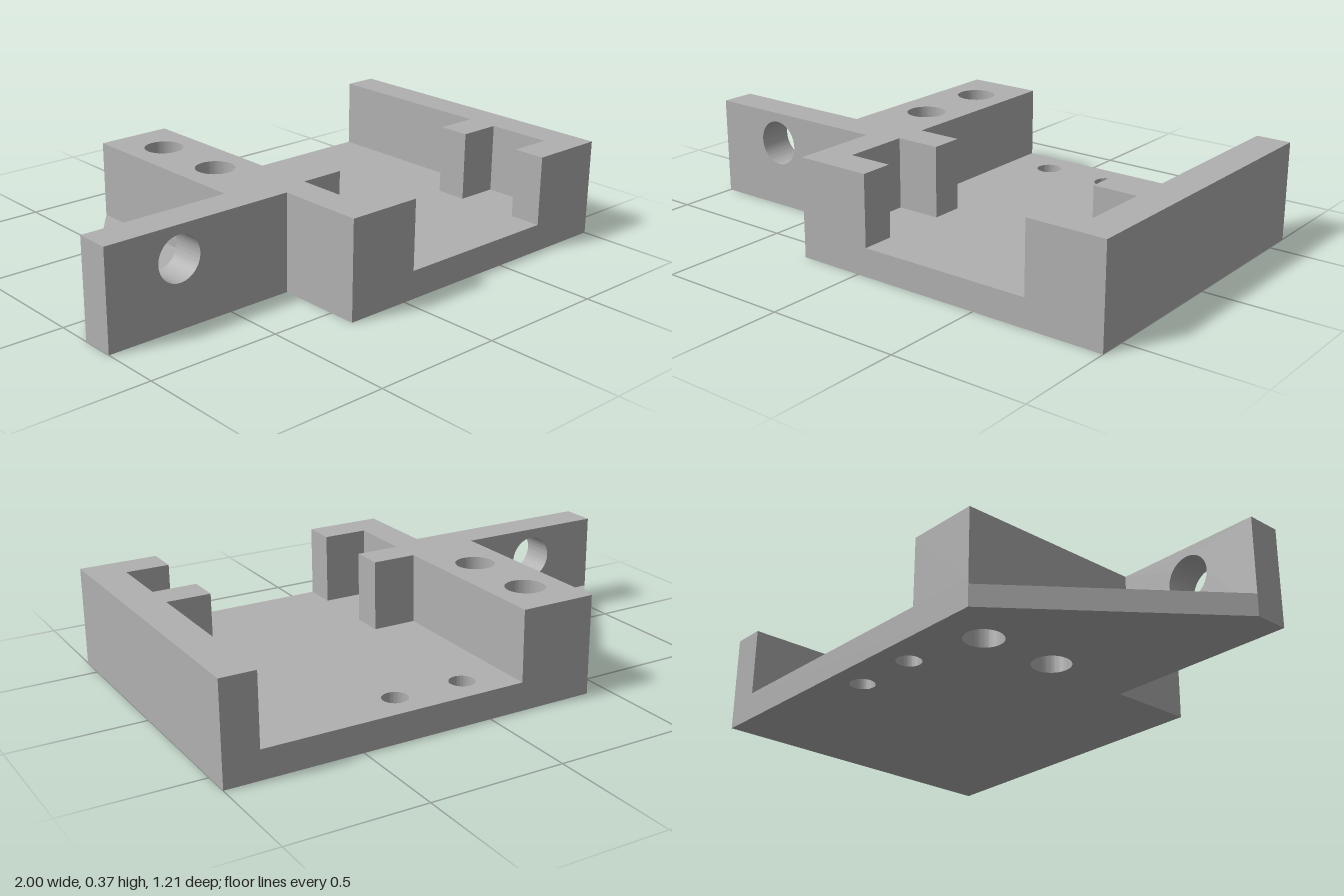
import * as THREE from 'three';
import { toCreasedNormals } from 'three/addons/utils/BufferGeometryUtils.js';

const HEIGHT = 0.373, FLOOR = 0.107, GUSSET = 0.083;
const BACK = -0.603, FRONT = 0.603;
const TAB_BACK = 0.14, TAB_FRONT = 0.27;
const BLOCK_X = -0.418, STEP_X = -0.25;

// Bolt holes [x, z, radius]
const bigHoles = [[-0.273, -0.41, 0.073], [-0.273, -0.098, 0.073]];
const smallHoles = [[0.04, -0.483, 0.047], [0.31, -0.483, 0.047]];

function extrude(points, holes, depth) {
  const shape = new THREE.Shape(points.map(([x, y]) => new THREE.Vector2(x, y)));
  for (const [x, y, r] of holes) {
    shape.holes.push(new THREE.Path().absarc(x, y, r, 0, Math.PI * 2, true));
  }
  const geometry = new THREE.ExtrudeGeometry(shape, { depth, bevelEnabled: false, curveSegments: 40 });
  return toCreasedNormals(geometry, 0.5);
}

// Plan outline in (x, z), raised from y0 to y1
function plate(points, holes, y0, y1) {
  const flip = ([x, z, r]) => [x, -z, r];
  return extrude(points.map(flip), holes.map(flip), y1 - y0).rotateX(-Math.PI / 2).translate(0, y0, 0);
}

// Inner edge of a side wall with its two lips, running front to back
function innerEdge(wallX, lipX) {
  return [
    [lipX, FRONT], [lipX, 0.477], [wallX, 0.477], [wallX, 0.225],
    [lipX, 0.225], [lipX, 0.102], [wallX, 0.102], [wallX, BACK],
  ];
}

export function createModel() {
  const model = new THREE.Group();
  model.name = 'mountingBracket';
  const grey = new THREE.MeshStandardMaterial({ color: 0xb0b0b0 });
  grey.name = 'grey';

  const add = (name, geometry) => {
    const mesh = new THREE.Mesh(geometry, grey);
    mesh.name = name;
    model.add(mesh);
  };

  // Floor of the tray
  const blockSide = [[BLOCK_X, BACK], [BLOCK_X, TAB_FRONT], [STEP_X, TAB_FRONT], [STEP_X, FRONT]];
  add('floor', plate([...blockSide, [1, FRONT], [1, BACK]], [...bigHoles, ...smallHoles], 0, FLOOR));

  // Side walls with lips; the right one carries the bolt holes
  add('rightWall', plate([...blockSide, ...innerEdge(-0.13, 0.04)], bigHoles, FLOOR, HEIGHT));
  add('leftWall', plate([[1, BACK], [1, FRONT], ...innerEdge(0.87, 0.705)], [], FLOOR, HEIGHT));

  // Upright tab with a cross hole
  const tab = extrude(
    [[-1, 0], [BLOCK_X, 0], [BLOCK_X, HEIGHT], [-1, HEIGHT]],
    [[-0.711, 0.253, 0.085]], TAB_FRONT - TAB_BACK);
  add('tab', tab.translate(0, 0, TAB_BACK));

  // Triangular web bracing the tab
  add('gusset', plate([[BLOCK_X, BACK], [-1, TAB_BACK], [BLOCK_X, TAB_BACK]], [], 0, GUSSET));

  return model;
}
